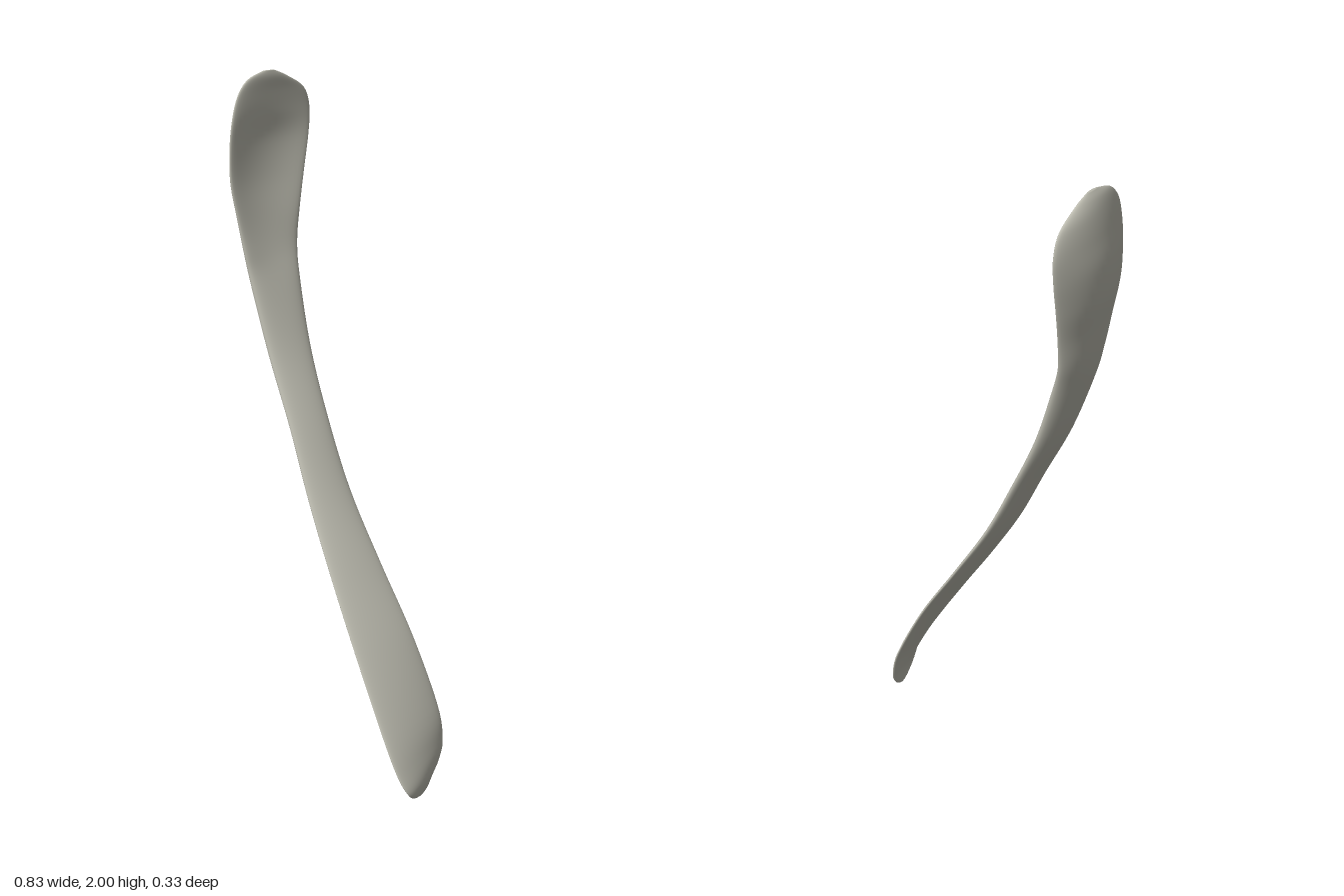
import * as THREE from 'three';

// Cross-sections from the head down to the foot:
// [y, zFront, zBack, xFront, xBack, camber, halfThickness]
const SECTIONS = [
  [2.0, 0.02, -0.02, -0.37, -0.373, 0, 0.003],
  [1.98, 0.08, -0.07, -0.362, -0.38, 0.005, 0.01],
  [1.94, 0.12, -0.14, -0.355, -0.392, 0.012, 0.014],
  [1.88, 0.145, -0.165, -0.348, -0.397, 0.02, 0.017],
  [1.8, 0.16, -0.157, -0.343, -0.393, 0.03, 0.018],
  [1.7, 0.165, -0.13, -0.336, -0.38, 0.03, 0.02],
  [1.6, 0.152, -0.1, -0.326, -0.362, 0.022, 0.021],
  [1.5, 0.138, -0.073, -0.314, -0.342, 0.015, 0.025],
  [1.4, 0.125, -0.055, -0.297, -0.307, 0.01, 0.027],
  [1.2, 0.11, -0.04, -0.235, -0.235, 0.005, 0.024],
  [1.0, 0.105, -0.035, -0.143, -0.143, 0.002, 0.02],
  [0.8, 0.11, -0.045, -0.048, -0.05, 0, 0.018],
  [0.6, 0.12, -0.07, 0.07, 0.062, 0, 0.016],
  [0.4, 0.13, -0.1, 0.198, 0.175, 0, 0.015],
  [0.2, 0.135, -0.125, 0.325, 0.262, 0, 0.015],
  [0.1, 0.13, -0.125, 0.385, 0.287, 0, 0.014],
  [0.05, 0.112, -0.105, 0.408, 0.296, 0, 0.013],
  [0.02, 0.08, -0.07, 0.397, 0.31, 0, 0.01],
  [0.0, 0.03, -0.03, 0.37, 0.335, 0, 0.003],
];

// Smooth interpolation of one column of the section table
function sample(col, s) {
  const i = Math.min(Math.floor(s), SECTIONS.length - 2);
  const f = s - i;
  const at = (k) => SECTIONS[Math.max(0, Math.min(SECTIONS.length - 1, k))][col];
  const [a, b, c, d] = [at(i - 1), at(i), at(i + 1), at(i + 2)];
  return b + 0.5 * f * (c - a + f * (2 * a - 5 * b + 4 * c - d + f * (3 * (b - c) + d - a)));
}

// Loft a thin, twisted, cambered lens through the sections
function bladeGeometry(steps = 6, sides = 40) {
  const pos = [];
  const index = [];
  const rows = (SECTIONS.length - 1) * steps;
  for (let r = -1; r <= rows + 1; r++) {
    const s = Math.max(0, Math.min(rows, r)) / steps;
    const [y, zf, zb, xf, xb, camber, t] = SECTIONS[0].map((_, col) => sample(col, s));
    const size = r < 0 || r > rows ? 0 : 1; // first and last rings close the ends
    for (let j = 0; j < sides; j++) {
      const a = (j / sides) * Math.PI * 2;
      const u = Math.cos(a) * size;
      const v = Math.sin(a) * size;
      const x = (xf + xb) / 2 + ((xf - xb) / 2) * u - camber * (1 - u * u) + t * v;
      pos.push(x, Math.max(0, Math.min(2, y)), (zf + zb) / 2 + ((zf - zb) / 2) * u);
    }
  }
  for (let r = 0; r < rows + 2; r++) {
    for (let j = 0; j < sides; j++) {
      const k = (j + 1) % sides;
      const a = r * sides + j, b = a + sides;
      const c = (r + 1) * sides + k, d = r * sides + k;
      index.push(a, b, c, a, c, d);
    }
  }
  const geo = new THREE.BufferGeometry();
  geo.setAttribute('position', new THREE.Float32BufferAttribute(pos, 3));
  geo.setIndex(index);
  geo.computeVertexNormals();
  return geo;
}

export function createModel() {
  const group = new THREE.Group();
  group.name = 'curvedBlade';
  const material = new THREE.MeshStandardMaterial({ color: 0xbdbcb0 });
  material.name = 'warmGrey';

  // One continuous piece: broad head, narrow neck and flared foot
  const blade = new THREE.Mesh(bladeGeometry(), material);
  blade.name = 'blade';
  group.add(blade);
  return group;
}
